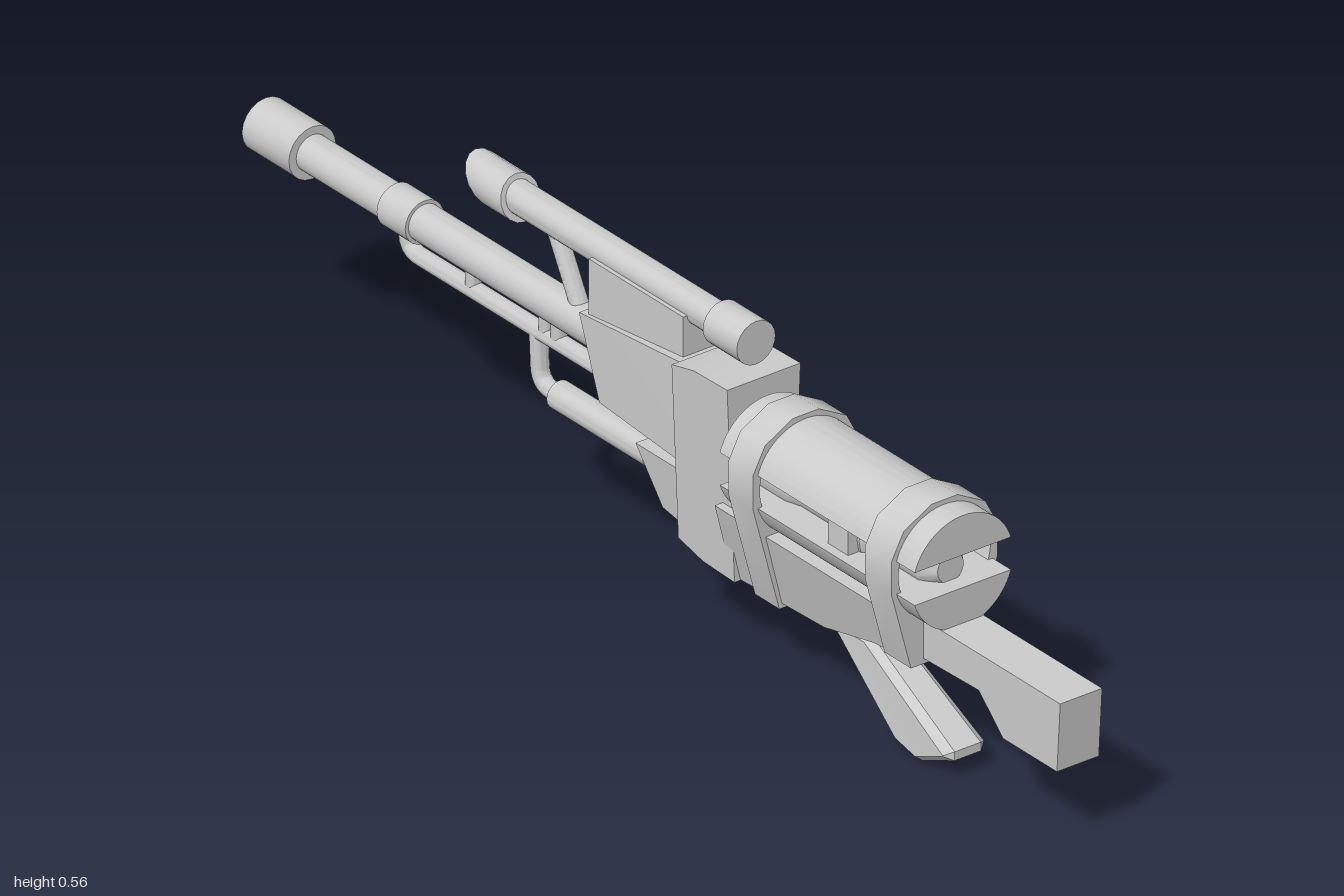
import * as THREE from 'three';
import { toCreasedNormals } from 'three/addons/utils/BufferGeometryUtils.js';

const material = new THREE.MeshStandardMaterial({ color: 0xcccccc });
const V = (a) => a.map(([x, y]) => new THREE.Vector2(x, y));
const AXIS = 0.347; // height of the drum axis

export function createModel() {
  const group = new THREE.Group();

  const add = (name, geometry) => {
    const mesh = new THREE.Mesh(toCreasedNormals(geometry, 0.6), material);
    mesh.name = name;
    group.add(mesh);
    return mesh;
  };

  // Round part along x from [radius, x] points
  const turned = (name, y, points, sides = 20) =>
    add(name, new THREE.LatheGeometry(V(points), sides).rotateZ(-Math.PI / 2).translate(0, y, 0));
  const rod = (name, y, x0, x1, r) => turned(name, y, [[0, x0], [r, x0], [r, x1], [0, x1]]);

  // Side profile given thickness by a half-width rule
  const prism = (name, points, halfWidth) => {
    const g = new THREE.ExtrudeGeometry(new THREE.Shape(V(points)), { depth: 2, bevelEnabled: false });
    g.translate(0, 0, -1);
    const p = g.attributes.position;
    for (let i = 0; i < p.count; i++) p.setZ(i, p.getZ(i) * halfWidth(p.getX(i), p.getY(i)));
    return add(name, g);
  };

  // Cross-section in (z, y) extruded along x
  const section = (name, shape, x0, x1) =>
    add(name, new THREE.ExtrudeGeometry(shape, { depth: x1 - x0, bevelEnabled: false, curveSegments: 20 })
      .rotateY(Math.PI / 2).translate(x0, 0, 0));

  const pipe = (name, points, r) => {
    const path = new THREE.CurvePath();
    const v = points.map(([x, y]) => new THREE.Vector3(x, y, 0));
    let from = v[0];
    for (let i = 1; i < v.length - 1; i++) {
      const a = v[i].clone().add(v[i - 1].clone().sub(v[i]).setLength(0.03));
      const b = v[i].clone().add(v[i + 1].clone().sub(v[i]).setLength(0.03));
      path.add(new THREE.LineCurve3(from, a));
      path.add(new THREE.QuadraticBezierCurve3(a, v[i], b));
      from = b;
    }
    path.add(new THREE.LineCurve3(from, v[v.length - 1]));
    return add(name, new THREE.TubeGeometry(path, 60, r, 12));
  };

  // Barrel, hollow muzzle and collar
  rod('barrel', 0.375, -0.9, -0.1, 0.031);
  turned('muzzle', 0.375, [[0, -0.91], [0.031, -0.91], [0.031, -1], [0.045, -1], [0.045, -0.885], [0, -0.885]]);
  rod('barrelCollar', 0.375, -0.68, -0.61, 0.037);

  // Pipes under the barrel
  pipe('gasPipe', [[-0.65, 0.37], [-0.65, 0.312], [-0.08, 0.312]], 0.015);
  for (const x of [-0.49, -0.31, -0.28]) pipe('pipeStrut', [[x, 0.375], [x, 0.312]], 0.013);
  pipe('feedPipe', [[-0.33, 0.31], [-0.325, 0.222], [-0.26, 0.222]], 0.015);
  rod('feedCylinder', 0.222, -0.28, -0.045, 0.024);
  rod('feedCoupling', 0.222, -0.05, 0.02, 0.016);

  // Scope with slanted hood, eyepiece, mount and strut
  rod('scopeTube', 0.52, -0.42, 0.13, 0.027);
  rod('scopeEyepiece', 0.52, 0.12, 0.203, 0.037);
  const hood = new THREE.CylinderGeometry(0.037, 0.037, 0.08, 16).rotateZ(Math.PI / 2).translate(-0.415, 0.519, 0);
  const hp = hood.attributes.position;
  for (let i = 0; i < hp.count; i++) hp.setX(i, hp.getX(i) - (hp.getY(i) - 0.519) * (hp.getX(i) < -0.415 ? 0.8 : 0.3));
  add('scopeHood', hood);
  add('scopeMount', new THREE.BoxGeometry(0.232, 0.1, 0.068).translate(-0.048, 0.467, 0));
  pipe('scopeStrut', [[-0.29, 0.51], [-0.22, 0.38]], 0.015);

  // Receiver: nose, centre block and front lower housing
  prism('receiverNose', [[-0.18, 0.42], [-0.125, 0.29], [0.1, 0.282], [0.1, 0.452]],
    (x, y) => (x < 0 ? 0.044 : 0.054) + (y > 0.4 ? -0.004 : 0));
  prism('centreBlock', [[0.085, 0.455], [0.085, 0.153], [0.145, 0.138], [0.222, 0.135], [0.222, 0.47], [0.14, 0.468]],
    (x, y) => 0.056 + (y - 0.135) * 0.042);
  prism('frontHousing', [[-0.035, 0.26], [0.02, 0.17], [0.1, 0.155], [0.1, 0.26]],
    (x, y) => 0.034 + (y - 0.15) * 0.1);

  // Tapered lower body and stock
  const taper = (x, y) => 0.043 + (y - 0.13) * 0.25;
  prism('lowerBody', [[0.2, 0.265], [0.2, 0.135], [0.43, 0.145], [0.56, 0.178], [0.66, 0.19], [0.66, 0.265]], taper);
  prism('stock', [[0.62, 0.258], [0.62, 0.19], [0.8, 0.195], [0.86, 0.138], [0.992, 0.138], [1, 0.258]], () => 0.04);

  // Drum: upper and lower shells around a stepped core
  const arcShape = (from, to) => new THREE.Shape().absarc(0, AXIS, 0.096, from, to, false);
  const up = Math.asin((0.375 - AXIS) / 0.096);
  section('upperShell', arcShape(up, Math.PI - up), 0.232, 0.71);
  section('lowerShell', arcShape(Math.PI + up, 2 * Math.PI - up), 0.232, 0.71);
  turned('drumCore', 0.34, [[0, 0.22], [0.05, 0.22], [0.05, 0.33], [0.042, 0.36], [0.042, 0.45],
    [0.058, 0.46], [0.058, 0.53], [0.044, 0.54], [0.044, 0.65], [0.025, 0.68], [0, 0.68]]);
  for (const side of [-1, 1]) {
    add('drumRib', new THREE.BoxGeometry(0.05, 0.07, 0.03).translate(0.5, 0.345, side * 0.06));
  }

  // Clamping bands that follow the body down to its underside
  for (const [x0, x1, bottom] of [[0.265, 0.325, 0.132], [0.6, 0.665, 0.182]]) {
    const w = 0.05 + (bottom - 0.13) * 0.27;
    const half = [[w, bottom], [0.101, 0.32], [0.101, 0.378], [0.078, 0.422], [0.025, 0.451]];
    const shape = new THREE.Shape(V([...half, ...half.map(([z, y]) => [-z, y]).reverse()]));
    shape.holes.push(new THREE.Path().absarc(0, AXIS, 0.088, 0, Math.PI * 2, true));
    section('band', shape, x0, x1);
  }

  // Slanted grip with chamfered edges, wider at the foot
  const gripShape = new THREE.Shape(V([[0.42, 0.15], [0.59, 0.014], [0.645, 0.002], [0.722, 0.035], [0.722, 0.05], [0.51, 0.16]]));
  const grip = new THREE.ExtrudeGeometry(gripShape, {
    depth: 0.05, bevelThickness: 0.014, bevelSize: 0.011, bevelOffset: -0.011, bevelSegments: 1,
  }).translate(0, 0, -0.025);
  const gp = grip.attributes.position;
  for (let i = 0; i < gp.count; i++) gp.setZ(i, gp.getZ(i) * (1.03 - 1.8 * Math.max(0, gp.getY(i) - 0.03)));
  add('grip', grip);

  return group;
}
